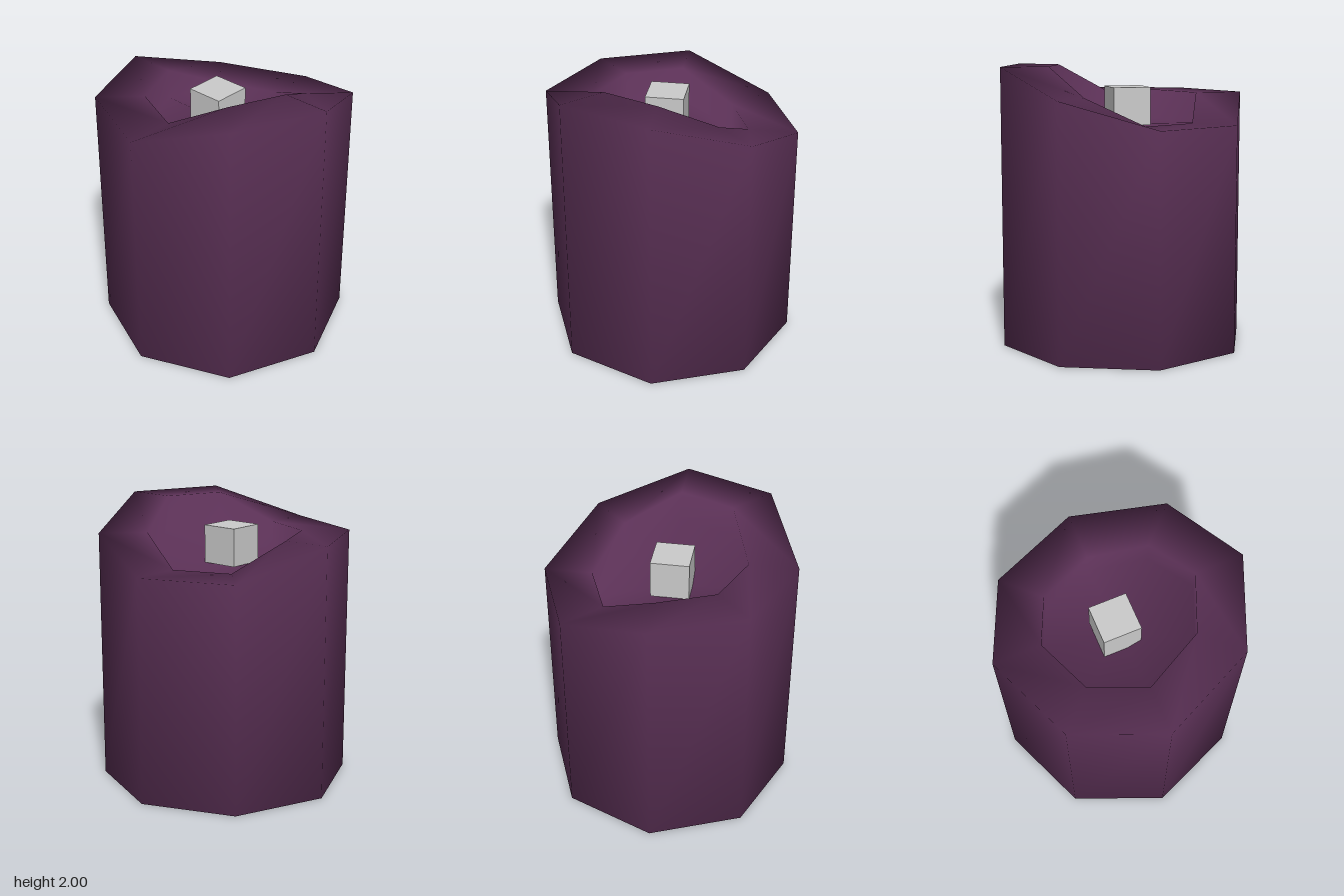
import * as THREE from 'three';

// Rim height of each of the eight corners, starting at +z and turning toward +x
const rimHeights = [1.8, 2, 2, 1.8, 1.61, 1.61, 1.8, 1.8];
const SIDES = rimHeights.length;
const OUTER = 0.895, INNER = 0.55, DEPTH = 0.22;

// Closed octagonal body: rings run from the base, up the side, over the rim and into the hollow
function bodyGeometry() {
  const rings = [
    [OUTER, () => 0],
    [OUTER, (h) => h],
    [INNER, (h) => h],
    [INNER, (h) => h - DEPTH],
  ];
  const positions = [], index = [];
  for (const [radius, height] of rings) {
    for (let i = 0; i < SIDES; i++) {
      const a = (i / SIDES) * Math.PI * 2;
      positions.push(Math.sin(a) * radius, height(rimHeights[i]), Math.cos(a) * radius);
    }
  }
  const mean = rimHeights.reduce((sum, h) => sum + h, 0) / SIDES;
  const baseCentre = positions.length / 3;
  const floorCentre = baseCentre + 1;
  positions.push(0, 0, 0, 0, mean - DEPTH, 0);

  const last = (rings.length - 1) * SIDES;
  for (let i = 0; i < SIDES; i++) {
    const j = (i + 1) % SIDES;
    for (let r = 0; r < rings.length - 1; r++) {
      const a = r * SIDES + i, b = r * SIDES + j;
      index.push(a, b, b + SIDES, a, b + SIDES, a + SIDES);
    }
    index.push(baseCentre, j, i, floorCentre, last + i, last + j);
  }
  const geometry = new THREE.BufferGeometry();
  geometry.setAttribute('position', new THREE.Float32BufferAttribute(positions, 3));
  geometry.setIndex(index);
  geometry.computeVertexNormals(); // shared corners give the soft, melted shading
  return geometry;
}

export function createModel() {
  const group = new THREE.Group();

  // Body with slanted rim and sunken top
  const body = new THREE.Mesh(bodyGeometry(), new THREE.MeshStandardMaterial({ color: 0x5a3055 }));
  body.name = 'body';
  group.add(body);

  // Small cube resting in the hollow
  const cube = new THREE.Mesh(
    new THREE.BoxGeometry(0.27, 0.27, 0.27),
    new THREE.MeshStandardMaterial({ color: 0xcccccc })
  );
  cube.name = 'cube';
  cube.position.set(-0.035, 1.715, 0.03);
  group.add(cube);

  return group;
}
